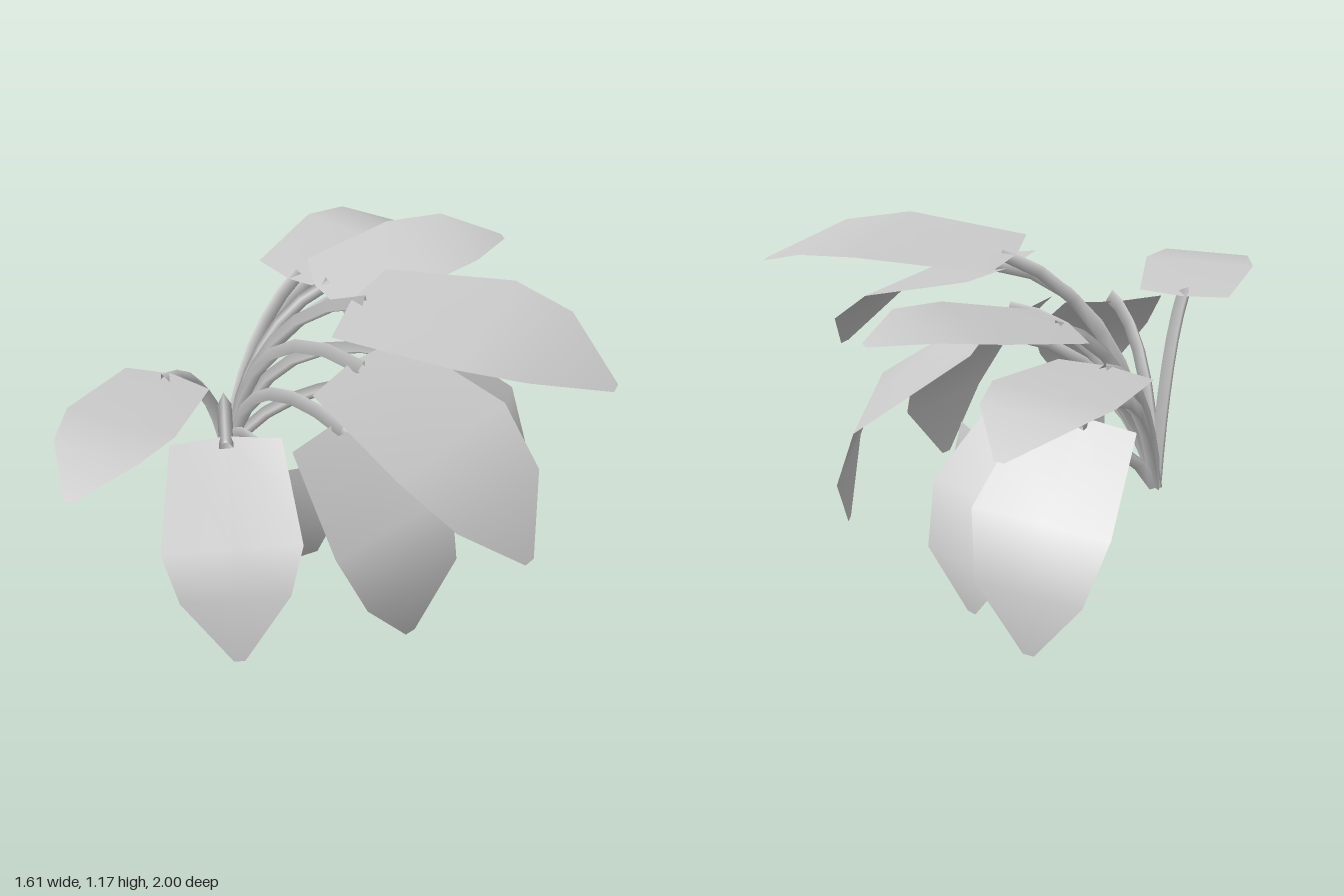
import * as THREE from 'three';

const ROOT = new THREE.Vector3(-0.62, 0.36, 0);

// Leaves fan out from one root. a: heading in degrees from +x towards +z, w: full width,
// r / y: distance from the root and height of the four rows from leaf base to tip.
const LEAVES = [
  { a: 90, w: 0.39, r: [0.37, 0.67, 0.82, 1.0], y: [0.93, 0.955, 0.945, 0.88] },
  { a: 61, w: 0.45, r: [0.57, 0.86, 0.95, 1.0], y: [0.84, 0.63, 0.5, 0.28] },
  { a: 40, w: 0.36, r: [0.5, 0.535, 0.455, 0.36], y: [0.6, 0.38, 0.18, 0.09] },
  { a: 26, w: 0.5, r: [0.65, 0.92, 1.01, 1.0], y: [0.84, 0.59, 0.4, 0.18] },
  { a: 17.5, w: 0.54, r: [0.635, 1.03, 1.22, 1.35], y: [1.03, 0.92, 0.78, 0.6] },
  { a: 0, w: 0.56, r: [0.53, 0.97, 1.19, 1.41], y: [1.14, 1.17, 1.14, 1.04] },
  { a: -10, w: 0.55, r: [0.61, 0.99, 1.065, 1.07], y: [0.89, 0.62, 0.4, 0.17] },
  { a: -33, w: 0.45, r: [0.64, 0.69, 0.62, 0.49], y: [0.6, 0.31, 0.14, 0] },
  { a: -43.5, w: 0.44, r: [0.38, 0.7, 0.89, 1.06], y: [1.0, 1.065, 1.085, 1.05] },
  { a: -60, w: 0.43, r: [0.555, 0.82, 0.89, 0.86], y: [0.83, 0.58, 0.38, 0.2] },
  { a: -75, w: 0.42, r: [0.4, 0.73, 0.875, 1.035], y: [0.92, 0.95, 0.935, 0.85] },
  { a: -78, w: 0.46, r: [0.615, 0.88, 0.955, 0.945], y: [0.83, 0.6, 0.4, 0.19] },
];
const ROW_WIDTH = [0.8, 1, 0.78, 0.08];

// Point at distance r along a heading, shifted sideways by s
function place(angle, r, s, y) {
  const c = Math.cos(angle), n = Math.sin(angle);
  return new THREE.Vector3(ROOT.x + c * r - n * s, y, ROOT.z + n * r + c * s);
}

// Blade: four cross rows of three points, bent along its heading
function bladeGeometry({ w, r, y }, angle) {
  const pos = [], index = [];
  ROW_WIDTH.forEach((k, i) => {
    for (let j = -1; j <= 1; j++) {
      const inset = i === 0 && j === 0 ? 0.03 : 0;
      pos.push(...place(angle, r[i] - inset, (j * k * w) / 2, y[i]).toArray());
    }
  });
  for (let i = 0; i < 3; i++) {
    for (let j = 0; j < 2; j++) {
      const p = i * 3 + j;
      index.push(p, p + 1, p + 3, p + 1, p + 4, p + 3);
    }
  }
  const g = new THREE.BufferGeometry();
  g.setAttribute('position', new THREE.Float32BufferAttribute(pos, 3));
  g.setIndex(index);
  g.computeVertexNormals();
  return g;
}

// Stalk: slim angular tube rising from the root, then arching out to the blade
function stalkGeometry({ r, y }, angle) {
  const droops = y[1] < y[0];
  const curve = new THREE.QuadraticBezierCurve3(
    ROOT.clone(),
    place(angle, r[0] * 0.25, 0, y[0] + (droops ? 0.06 : -0.1)),
    place(angle, r[0] + 0.02, 0, y[0]),
  );
  return new THREE.TubeGeometry(curve, 7, 0.027, 3, false);
}

export function createModel() {
  const model = new THREE.Group();
  model.name = 'plant';
  const material = new THREE.MeshStandardMaterial({ color: 0xcccccc, side: THREE.DoubleSide });

  for (const spec of LEAVES) {
    const angle = THREE.MathUtils.degToRad(spec.a);
    const leaf = new THREE.Group();
    leaf.name = 'leaf';
    const blade = new THREE.Mesh(bladeGeometry(spec, angle), material);
    blade.name = 'leafBlade';
    const stalk = new THREE.Mesh(stalkGeometry(spec, angle), material);
    stalk.name = 'leafStalk';
    leaf.add(blade, stalk);
    model.add(leaf);
  }
  return model;
}
